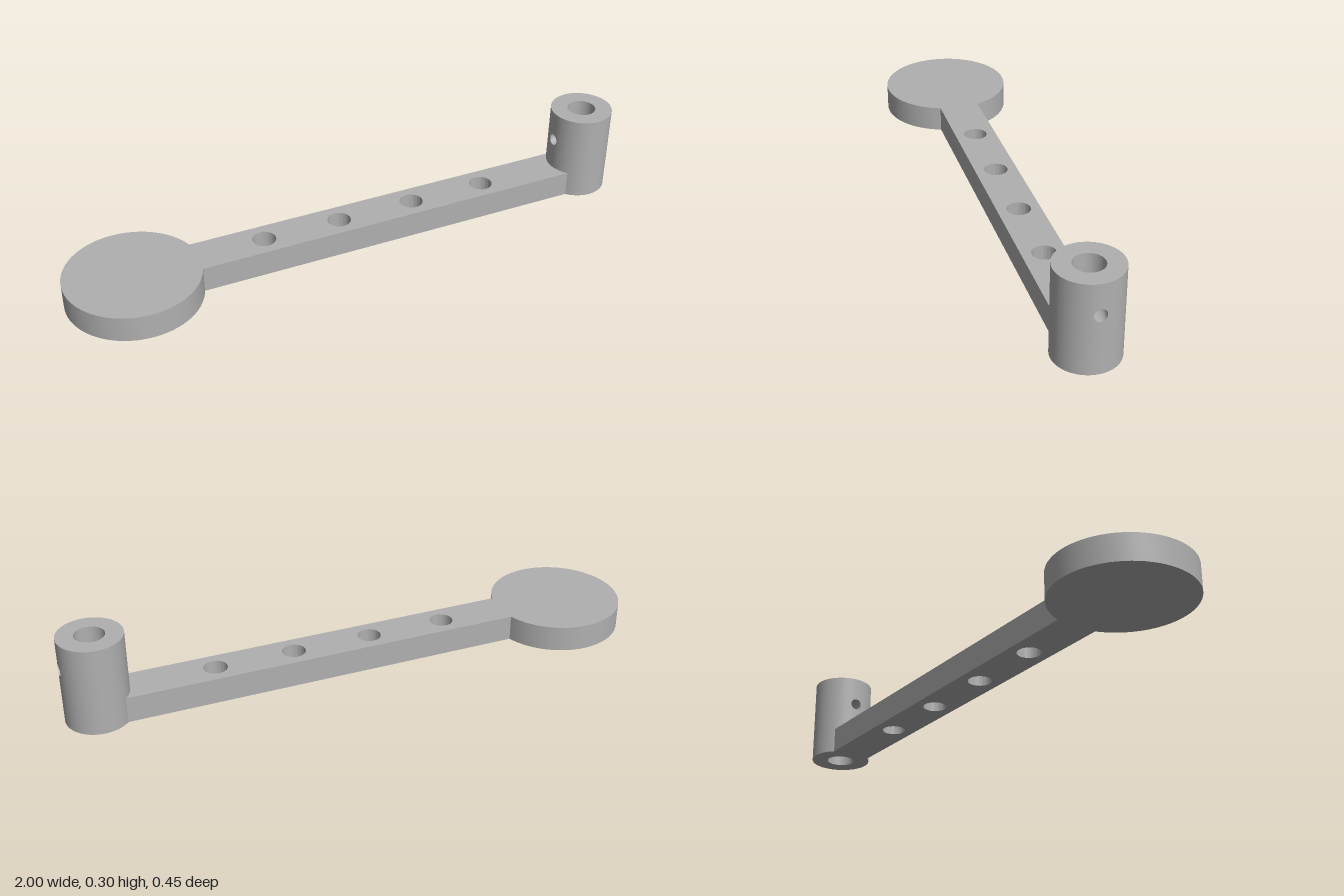
import * as THREE from 'three';
import { mergeGeometries, toCreasedNormals } from 'three/addons/utils/BufferGeometryUtils.js';
import { ParametricGeometry } from 'three/addons/geometries/ParametricGeometry.js';

const PLATE_H = 0.09;
const POST = { x: 0.893, outer: 0.107, inner: 0.049, height: 0.303, holeY: 0.199, holeR: 0.0205 };

// Flat round paddle and drilled arm as one extruded outline
function plateGeometry() {
  const discX = -0.773, discR = 0.227, half = 0.072, endX = 0.822;
  const a = Math.asin(half / discR);
  const shape = new THREE.Shape();
  shape.moveTo(endX, -half);
  shape.lineTo(endX, half);
  shape.absarc(discX, 0, discR, a, Math.PI * 2 - a, false);
  shape.closePath();
  for (const x of [-0.32, -0.048, 0.225, 0.498]) {
    shape.holes.push(new THREE.Path().absarc(x, 0, 0.04, 0, Math.PI * 2, true));
  }
  const geo = new THREE.ExtrudeGeometry(shape, { depth: PLATE_H, bevelEnabled: false, curveSegments: 32 });
  geo.rotateX(-Math.PI / 2);
  return toCreasedNormals(geo, 0.4);
}

// Surface between two curves given as [angle, height, radius]
function between(from, to, uSteps, vSteps) {
  return new ParametricGeometry((u, v, target) => {
    const p = from(u), q = to(u);
    const [t, y, r] = p.map((n, i) => n + (q[i] - n) * v);
    target.set(r * Math.cos(t), y, -r * Math.sin(t));
  }, uSteps, vSteps);
}

// Hollow post with a cross hole through both walls
function postGeometry() {
  const { outer, inner, height, holeY, holeR } = POST;
  const quarter = Math.PI / 4;
  const wave = (u) => {
    const f = u - Math.floor(u);
    return THREE.MathUtils.clamp(2 * (Math.abs(4 * f - 2) - 1), -1, 1);
  };
  const hole = (r) => (u) => {
    const a = u * Math.PI * 2;
    return [Math.asin(holeR * Math.cos(a) / r), holeY + holeR * Math.sin(a), r];
  };
  const frame = (r) => (u) => [quarter * wave(u), height / 2 * (1 + wave(u - 0.25)), r];
  const rim = (r, y) => (u) => [quarter * (2 * u - 1), y, r];

  const parts = [];
  for (const turn of [0, Math.PI]) {
    // Walls around the cross hole, and the hole's own bore
    const drilled = [
      between(frame(outer), hole(outer), 64, 8),
      between(hole(inner), frame(inner), 64, 8),
      between(hole(outer), hole(inner), 64, 2),
    ];
    // Plain walls on the sides in between
    const plain = [
      between(rim(outer, 0), rim(outer, height), 16, 1),
      between(rim(inner, height), rim(inner, 0), 16, 1),
    ];
    drilled.forEach((g) => parts.push(g.rotateY(turn)));
    plain.forEach((g) => parts.push(g.rotateY(turn + Math.PI / 2)));
  }
  // Ring-shaped ends
  parts.push(new THREE.RingGeometry(inner, outer, 64).rotateX(-Math.PI / 2).translate(0, height, 0));
  parts.push(new THREE.RingGeometry(inner, outer, 64).rotateX(Math.PI / 2));
  return mergeGeometries(parts);
}

export function createModel() {
  const grey = new THREE.MeshStandardMaterial({ color: 0xb0b0b0 });
  grey.name = 'grey';

  const group = new THREE.Group();
  group.name = 'crankArm';

  const plate = new THREE.Mesh(plateGeometry(), grey);
  plate.name = 'paddleAndArm';

  const post = new THREE.Mesh(postGeometry(), grey);
  post.name = 'hollowPost';
  post.position.x = POST.x;

  group.add(plate, post);
  return group;
}
